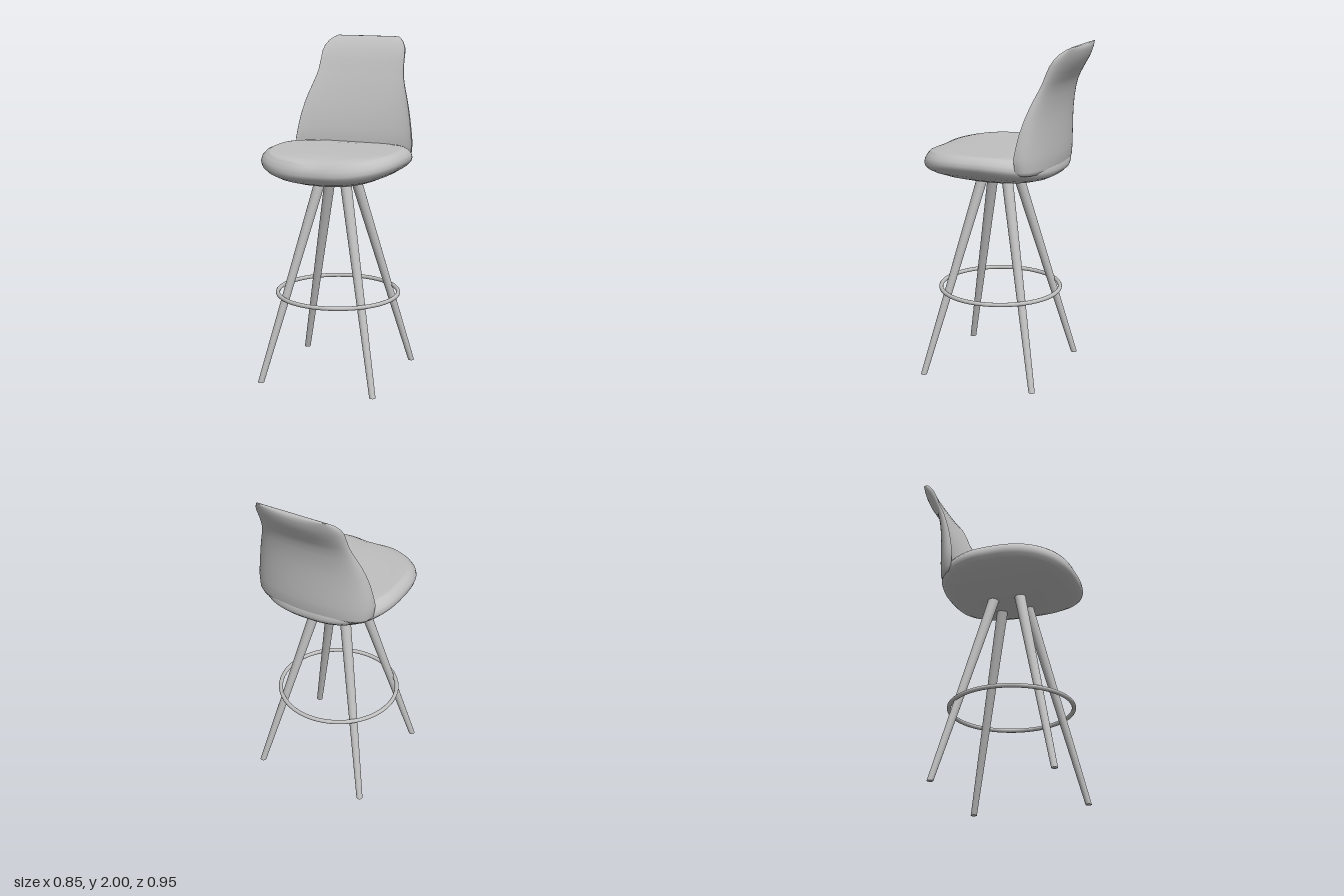
import * as THREE from 'three';

const SEG = 96;
const CZ = 0.053; // centre of the leg frame

// Skin a list of closed rings (ordered so that the outside faces outward)
function loft(rings) {
  const pos = [], idx = [], n = rings[0].length;
  rings.forEach(r => r.forEach(p => pos.push(...p)));
  for (let i = 0; i < rings.length - 1; i++) {
    for (let j = 0; j < n; j++) {
      const k = (j + 1) % n, a = i * n + j, b = i * n + k, c = a + n, d = b + n;
      idx.push(a, c, b, b, c, d);
    }
  }
  const g = new THREE.BufferGeometry();
  g.setAttribute('position', new THREE.Float32BufferAttribute(pos, 3));
  g.setIndex(idx);
  g.computeVertexNormals();
  return g;
}

const ring = f => Array.from({ length: SEG }, (_, j) => f(j / SEG * Math.PI * 2));
const power = (v, e) => Math.sign(v) * Math.abs(v) ** e;

// Rounded-square seat ring: scale and height at the sides and at front/back
function seatRing([sSide, sEnd, ySide, yEnd, dip = 0]) {
  return ring(a => {
    const c = Math.cos(a), s = Math.sin(a), w = c * c;
    const scale = sSide * w + sEnd * (1 - w);
    const x = 0.425 * scale * power(c, 2 / 2.6);
    const z = 0.06 + (s > 0 ? 0.415 : 0.402) * scale * power(s, 2 / 2.6);
    const notch = s > 0 ? dip * Math.exp(-((x / 0.09) ** 2)) : 0;
    return [x, ySide * w + yEnd * (1 - w) - notch, z];
  });
}

// Backrest section: slightly hollow front, rounded back
function backRing([y, half, zEdge, zFront, zBack]) {
  return ring(a => {
    const s = Math.sin(a);
    const z = s > 0 ? zEdge + (zFront - zEdge) * s
      : zEdge + (zBack - zEdge) * Math.abs(s) ** 0.85;
    return [half * Math.cos(a), y, z];
  });
}

export function createModel() {
  const model = new THREE.Group();
  const grey = new THREE.MeshStandardMaterial({ color: 0xc0c0c0 });
  grey.name = 'light grey';
  const add = (name, geometry) => {
    const mesh = new THREE.Mesh(geometry, grey);
    mesh.name = name;
    model.add(mesh);
    return mesh;
  };

  // Seat shell with rolled rim
  const crease = [0.88, 0.93, 1.383, 1.352, 0.016];
  add('seatShell', loft([
    [0, 0, 1.175, 1.175],
    [0.27, 0.2, 1.175, 1.175],
    [0.45, 0.4, 1.194, 1.182],
    [0.65, 0.65, 1.222, 1.2],
    [0.84, 0.84, 1.258, 1.222],
    [0.94, 0.94, 1.285, 1.242],
    [0.985, 0.985, 1.306, 1.26],
    [1, 1, 1.328, 1.281],
    [0.985, 0.99, 1.351, 1.307],
    [0.94, 0.965, 1.372, 1.331, 0.006],
    crease,
  ].map(seatRing)));

  // Upholstered seat top, meeting the shell at a crease
  add('seatPad', loft([
    crease,
    [0.84, 0.87, 1.384, 1.363, 0.007],
    [0.76, 0.78, 1.383, 1.373],
    [0.5, 0.5, 1.381, 1.38],
    [0, 0, 1.38, 1.38],
  ].map(seatRing)));

  // Backrest: height, half width, edge z, front z, back z
  add('backrest', loft([
    [1.285, 0, -0.27, -0.27, -0.27],
    [1.285, 0.34, -0.215, -0.22, -0.325],
    [1.31, 0.366, -0.198, -0.22, -0.339],
    [1.385, 0.375, -0.19, -0.22, -0.343],
    [1.45, 0.366, -0.2, -0.227, -0.343],
    [1.53, 0.352, -0.216, -0.243, -0.343],
    [1.6, 0.335, -0.236, -0.262, -0.345],
    [1.66, 0.317, -0.257, -0.28, -0.35],
    [1.72, 0.296, -0.281, -0.3, -0.36],
    [1.77, 0.281, -0.304, -0.318, -0.373],
    [1.81, 0.274, -0.322, -0.334, -0.392],
    [1.86, 0.27, -0.34, -0.352, -0.424],
    [1.905, 0.268, -0.36, -0.373, -0.452],
    [1.94, 0.26, -0.384, -0.394, -0.467],
    [1.97, 0.242, -0.41, -0.414, -0.476],
    [1.99, 0.218, -0.436, -0.436, -0.477],
    [2.0, 0.198, -0.455, -0.45, -0.47],
    [2.0, 0, -0.46, -0.46, -0.46],
  ].map(backRing)));

  // Four tapered legs, leaned by a shear so the feet stay level
  const top = 1.235;
  for (const sx of [1, -1]) {
    for (const sz of [1, -1]) {
      const g = new THREE.CylinderGeometry(0.034, 0.0185, top, 24);
      g.translate(0, top / 2, 0);
      const p = g.attributes.position;
      for (let i = 0; i < p.count; i++) {
        const spread = 0.353 - 0.229 * p.getY(i);
        p.setX(i, p.getX(i) + sx * spread);
        p.setZ(i, p.getZ(i) + CZ + sz * spread);
      }
      g.computeVertexNormals();
      add((sz > 0 ? 'front' : 'back') + (sx > 0 ? 'Left' : 'Right') + 'Leg', g);
    }
  }

  // Ring footrest
  const foot = add('footRing', new THREE.TorusGeometry(0.362, 0.0125, 12, 72));
  foot.rotation.x = Math.PI / 2;
  foot.position.set(0, 0.505, CZ);

  return model;
}
